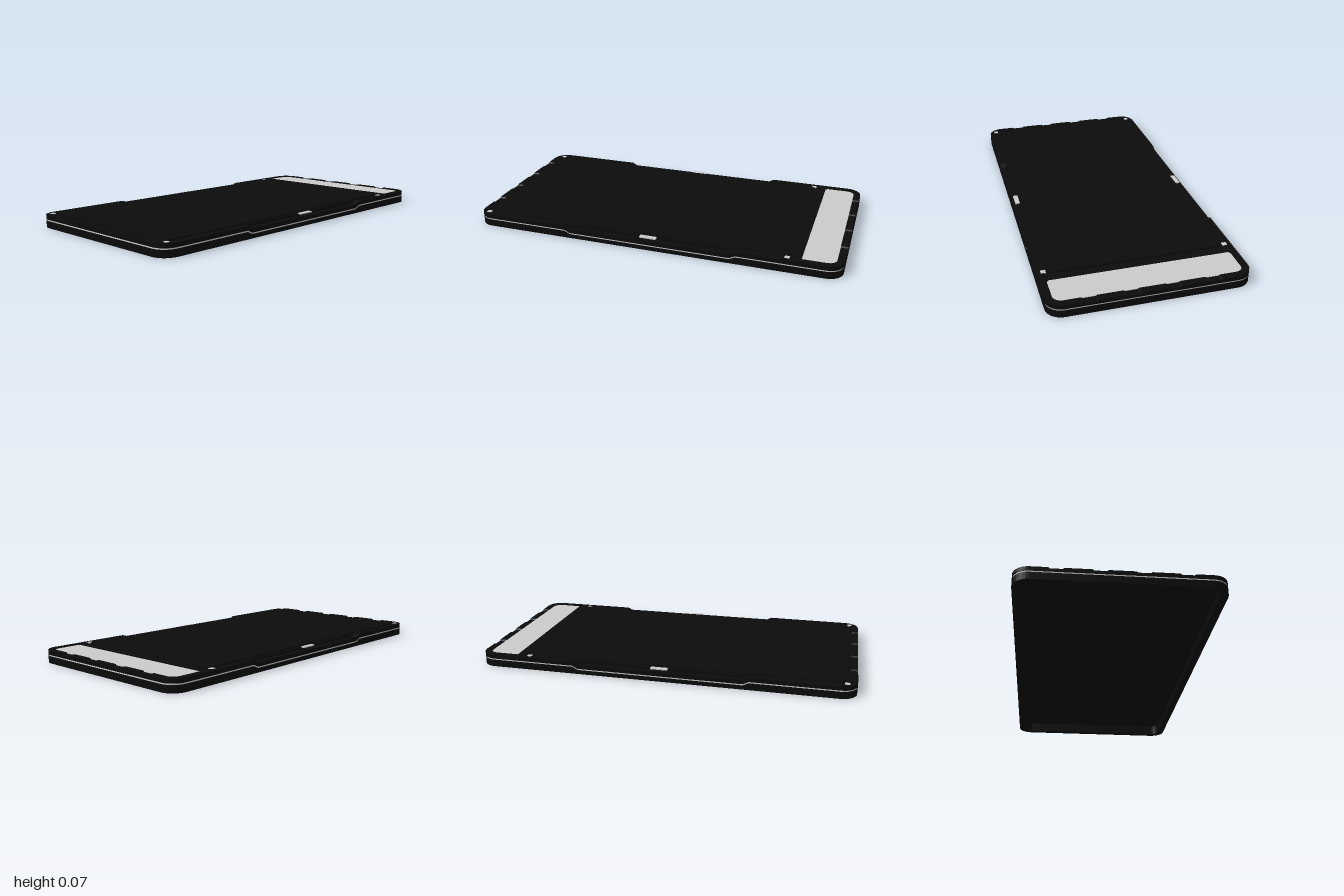
import * as THREE from 'three';

const black = new THREE.MeshStandardMaterial({ color: 0x0b0b0b, flatShading: true });
const grey = new THREE.MeshStandardMaterial({ color: 0xcccccc, flatShading: true });

const HALF_W = 0.5, HALF_L = 1, RADIUS = 0.08, RIM = 0.037;

// 0 at the ends of the case, 1 along the lowered middle of the long sides
const dip = (z) => THREE.MathUtils.clamp((0.47 - Math.abs(z)) / 0.03, 0, 1);
const seamY = (x, z) => 0.037 - 0.015 * dip(z);

// Shallow notches along the two short edges
const notchCentres = [-0.3, -0.1, 0.1, 0.3];
function rimY(x, z) {
  const notched = Math.abs(z) > 0.93 && notchCentres.some((c) => Math.abs(x - c) < 0.0305);
  return 0.066 - 0.015 * dip(z) - (notched ? 0.006 : 0);
}

// Rounded-rectangle outline, moved inward by an inset
function outline(inset) {
  const r = RADIUS - inset, cx = HALF_W - RADIUS, cz = HALF_L - RADIUS;
  const sideZ = [-0.47, -0.44, 0.44, 0.47];
  const endX = notchCentres.flatMap((c) => [c - 0.036, c - 0.03, c + 0.03, c + 0.036]);
  const pts = [];
  const corner = (sx, sz, start) => {
    for (let i = 0; i <= 8; i++) {
      const a = start + (i / 8) * Math.PI / 2;
      pts.push([sx * cx + r * Math.cos(a), sz * cz + r * Math.sin(a)]);
    }
  };
  sideZ.forEach((z) => pts.push([HALF_W - inset, z]));
  corner(1, 1, 0);
  [...endX].reverse().forEach((x) => pts.push([x, HALF_L - inset]));
  corner(-1, 1, Math.PI / 2);
  [...sideZ].reverse().forEach((z) => pts.push([-HALF_W + inset, z]));
  corner(-1, -1, Math.PI);
  endX.forEach((x) => pts.push([x, -HALF_L + inset]));
  corner(1, -1, Math.PI * 1.5);
  return pts;
}

// Closed wall between two insets, with bottom and top heights given by rules
function ring(outerInset, innerInset, bottom, top) {
  const outer = outline(outerInset), inner = outline(innerInset);
  const pos = [], index = [], n = outer.length;
  outer.forEach(([x, z], i) => {
    const [u, w] = inner[i];
    pos.push(x, bottom(x, z), z, x, top(x, z), z, u, top(x, z), w, u, bottom(x, z), w);
    for (let k = 0; k < 4; k++) {
      const a = i * 4 + k, b = i * 4 + (k + 1) % 4;
      const c = ((i + 1) % n) * 4 + (k + 1) % 4, d = ((i + 1) % n) * 4 + k;
      index.push(a, b, c, a, c, d);
    }
  });
  const g = new THREE.BufferGeometry();
  g.setAttribute('position', new THREE.Float32BufferAttribute(pos, 3));
  g.setIndex(index);
  g.computeVertexNormals();
  return g;
}

// Horizontal plate with rounded corners
function plate(x0, x1, z0, z1, y0, y1, r) {
  const s = new THREE.Shape();
  s.moveTo(x0 + r, -z1);
  s.lineTo(x1 - r, -z1);
  s.absarc(x1 - r, -z1 + r, r, -Math.PI / 2, 0);
  s.absarc(x1 - r, -z0 - r, r, 0, Math.PI / 2);
  s.absarc(x0 + r, -z0 - r, r, Math.PI / 2, Math.PI);
  s.absarc(x0 + r, -z1 + r, r, Math.PI, Math.PI * 1.5);
  return new THREE.ExtrudeGeometry(s, { depth: y1 - y0, bevelEnabled: false, curveSegments: 8 })
    .rotateX(-Math.PI / 2).translate(0, y0, 0);
}

export function createModel() {
  const group = new THREE.Group();
  const add = (name, geometry, material = black) => {
    const mesh = new THREE.Mesh(geometry, material);
    mesh.name = name;
    group.add(mesh);
    return mesh;
  };

  // Hollow side walls, split by a light seam that steps down on the long sides
  add('lowerWall', ring(0, RIM, () => 0, seamY));
  add('seam', ring(0.002, 0.02, seamY, (x, z) => seamY(x, z) + 0.007), grey);
  add('upperWall', ring(0, RIM, (x, z) => seamY(x, z) + 0.007, rimY));
  add('innerWall', ring(0.02, RIM + 0.001, () => 0.002, () => 0.049));

  // Main deck and raised lid
  const inX = HALF_W - RIM + 0.003;
  add('deck', plate(-inX, inX, -0.79, HALF_L - RIM + 0.003, 0.045, 0.063, 0.04));
  add('lid', plate(-0.45, 0.45, -0.742, 0.945, 0.06, 0.0695, 0.03));
  add('crossBar', plate(-inX, inX, -0.795, -0.752, 0.05, 0.066, 0.002));

  // Window at the rear, with a dark backing
  add('windowBacking', plate(-inX, inX, -0.966, -0.78, 0.055, 0.06, 0.04));
  add('window', plate(-0.463, 0.463, -0.963, -0.79, 0.06, 0.063, 0.025), grey);

  // Light pads: one at each deck corner and a longer one on each side ledge
  for (const s of [-1, 1]) {
    const pads = [
      ['rearPad', 0.465, -0.725, 0.025, 0.025, 0.066],
      ['frontPad', 0.46, 0.95, 0.025, 0.025, 0.066],
      ['sidePad', 0.474, 0, 0.025, 0.09, 0.064],
    ];
    for (const [name, x, z, w, l, y] of pads) {
      add(name, new THREE.BoxGeometry(w, 0.006, l)).position.set(s * x, y - 0.002, z);
      group.children.at(-1).material = grey;
    }
  }
  return group;
}
